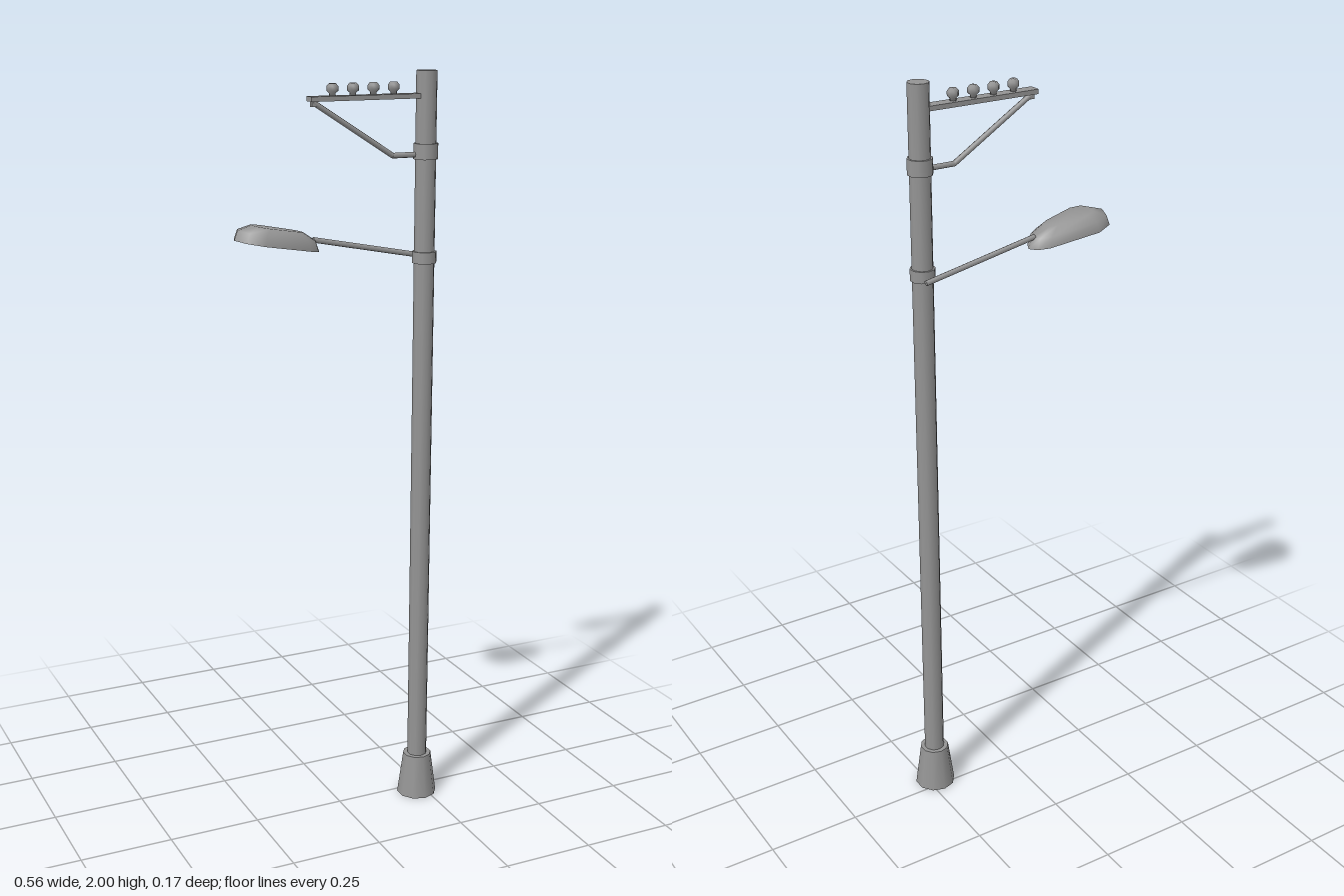
import * as THREE from 'three';
import { toCreasedNormals } from 'three/addons/utils/BufferGeometryUtils.js';

const PX = 0.227, PZ = 0.03; // pole axis

export function createModel() {
  const model = new THREE.Group();
  const metal = new THREE.MeshStandardMaterial({ color: 0x949494 });

  const add = (name, geometry, x, y, z) => {
    const mesh = new THREE.Mesh(geometry, metal);
    mesh.name = name;
    mesh.position.set(x, y, z);
    model.add(mesh);
    return mesh;
  };

  // Upright cylinder around the pole axis, from y0 to y1
  const ring = (name, r0, r1, y0, y1) =>
    add(name, new THREE.CylinderGeometry(r1, r0, y1 - y0, 10), PX, (y0 + y1) / 2, PZ);

  // Thin rod between two points
  const rod = (name, a, b, r) => {
    const from = new THREE.Vector3(...a), to = new THREE.Vector3(...b);
    const dir = to.clone().sub(from);
    const mid = from.clone().add(to).multiplyScalar(0.5);
    const mesh = add(name, new THREE.CylinderGeometry(r, r, dir.length(), 8), mid.x, mid.y, mid.z);
    mesh.quaternion.setFromUnitVectors(new THREE.Vector3(0, 1, 0), dir.normalize());
  };

  // Pole, footing and clamps
  ring('footing', 0.055, 0.039, 0, 0.12);
  ring('pole', 0.027, 0.027, 0.1, 2);
  ring('upperClamp', 0.032, 0.032, 1.78, 1.82);
  ring('lowerClamp', 0.032, 0.032, 1.515, 1.545);

  // Crossarm with its bent brace
  add('crossarm', new THREE.BoxGeometry(0.305, 0.012, 0.032), 0.0575, 1.938, 0.027);
  rod('braceDiagonal', [-0.085, 1.93, 0.027], [0.135, 1.792, 0.027], 0.007);
  rod('braceFoot', [0.133, 1.792, 0.027], [0.205, 1.792, 0.027], 0.007);
  add('braceTab', new THREE.BoxGeometry(0.012, 0.018, 0.012), -0.084, 1.928, 0.027);

  // Insulators along the crossarm
  const insulatorProfile = [
    [0, 0], [0.008, 0], [0.008, 0.006], [0.0145, 0.012],
    [0.0145, 0.023], [0.009, 0.03], [0, 0.03],
  ].map(([r, y]) => new THREE.Vector2(r, y));
  for (let i = 0; i < 4; i++) {
    add('insulator', new THREE.LatheGeometry(insulatorProfile, 8, Math.PI / 8),
      -0.033 + i * 0.056, 1.944, 0.028);
  }

  // Lamp arm running past the back of the pole
  rod('lampArm', [-0.065, 1.586, -0.021], [0.247, 1.525, -0.021], 0.007);

  add('lampHead', lampGeometry(), -0.164, 1.577, -0.02);
  return model;
}

// Lamp head: a teardrop outline shrinking upward in rings, sheared along the arm slope
function lampGeometry() {
  const half = [[-0.115, 0], [-0.098, 0.046], [-0.055, 0.064], [0.077, 0.041], [0.104, 0.024], [0.115, 0]];
  const outline = [...half, ...half.slice(1, -1).reverse().map(([x, z]) => [x, -z])];
  const rings = [[0, 0], [1, 0], [0.92, 0.026], [0.6, 0.044], [0, 0.044]]; // scale, height
  const n = outline.length;
  const positions = [], index = [];
  for (const [s, h] of rings) {
    for (const [x, z] of outline) positions.push(x * s, h - 0.18 * x * s, z * s);
  }
  for (let r = 0; r < rings.length - 1; r++) {
    for (let i = 0; i < n; i++) {
      const a = r * n + i, b = r * n + (i + 1) % n;
      if (r > 0) index.push(a, b, b + n);
      if (r < rings.length - 2) index.push(a, b + n, a + n);
    }
  }
  const geometry = new THREE.BufferGeometry();
  geometry.setAttribute('position', new THREE.Float32BufferAttribute(positions, 3));
  geometry.setIndex(index);
  return toCreasedNormals(geometry, 1.1);
}
